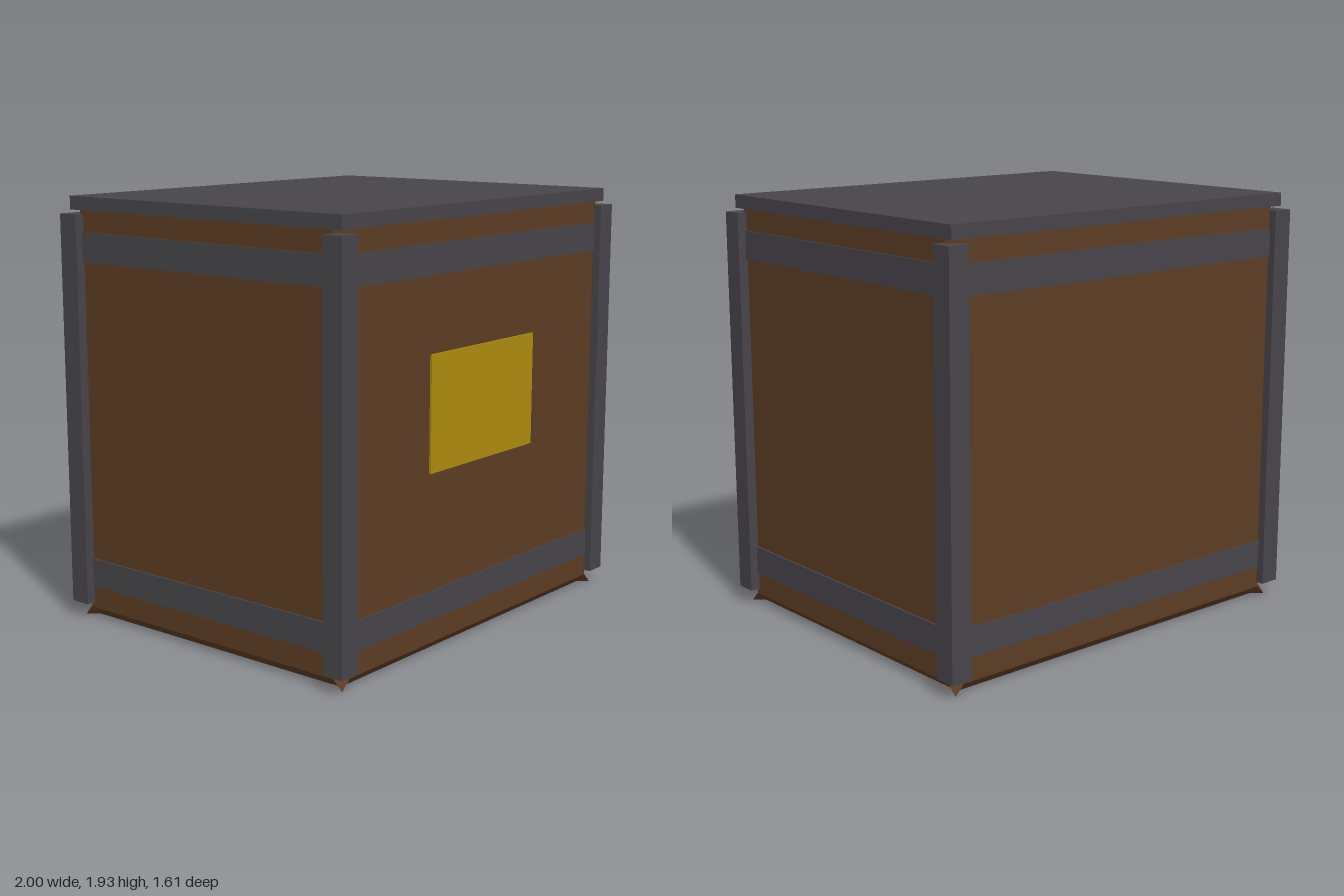
import * as THREE from 'three';
import { ConvexGeometry } from 'three/addons/geometries/ConvexGeometry.js';

export function createModel() {
  const group = new THREE.Group();
  const material = (name, color) => {
    const m = new THREE.MeshStandardMaterial({ color });
    m.name = name;
    return m;
  };
  const wood = material('brown wood', 0x5c3c23);
  const metal = material('dark grey metal', 0x47454a);
  const yellow = material('yellow label', 0xae8b0d);

  const add = (name, geometry, mat, x = 0, y = 0, z = 0) => {
    const mesh = new THREE.Mesh(geometry, mat);
    mesh.name = name;
    mesh.position.set(x, y, z);
    group.add(mesh);
  };
  const box = (name, w, h, d, mat, x, y, z) =>
    add(name, new THREE.BoxGeometry(w, h, d), mat, x, y, z);

  // Chamfered body, with a small spike filling each corner
  const X = 0.955, Y = 0.958, Z = 0.768, b = 0.045;
  const points = [];
  for (const sx of [-1, 1]) for (const sy of [-1, 1]) for (const sz of [-1, 1]) {
    const corner = [
      new THREE.Vector3(sx * X, sy * (Y - b), sz * (Z - b)),
      new THREE.Vector3(sx * (X - b), sy * Y, sz * (Z - b)),
      new THREE.Vector3(sx * (X - b), sy * (Y - b), sz * Z),
    ];
    points.push(...corner);
    const tip = new THREE.Vector3(sx * X, sy * Y, sz * Z);
    add('cornerSpike', new ConvexGeometry([...corner, tip]), wood, 0, Y, 0);
  }
  add('body', new ConvexGeometry(points), wood, 0, Y, 0);

  // Lid
  box('lid', 1.93, 0.06, 1.555, metal, 0, 1.897, 0);

  // Corner posts
  for (const sx of [-1, 1]) for (const sz of [-1, 1])
    box('cornerPost', 0.1, 1.78, 0.1, metal, sx * 0.95, 0.96, sz * 0.755);

  // Upper and lower bands on all four sides
  for (const y of [0.215, 1.705]) for (const s of [-1, 1]) {
    box('longBand', 1.82, 0.13, 0.012, metal, 0, y, s * 0.768);
    box('sideBand', 0.012, 0.13, 1.44, metal, s * 0.957, y, 0);
  }

  // Front label plate
  box('label', 0.765, 0.51, 0.009, yellow, 0, 1.055, 0.7745);

  return group;
}
